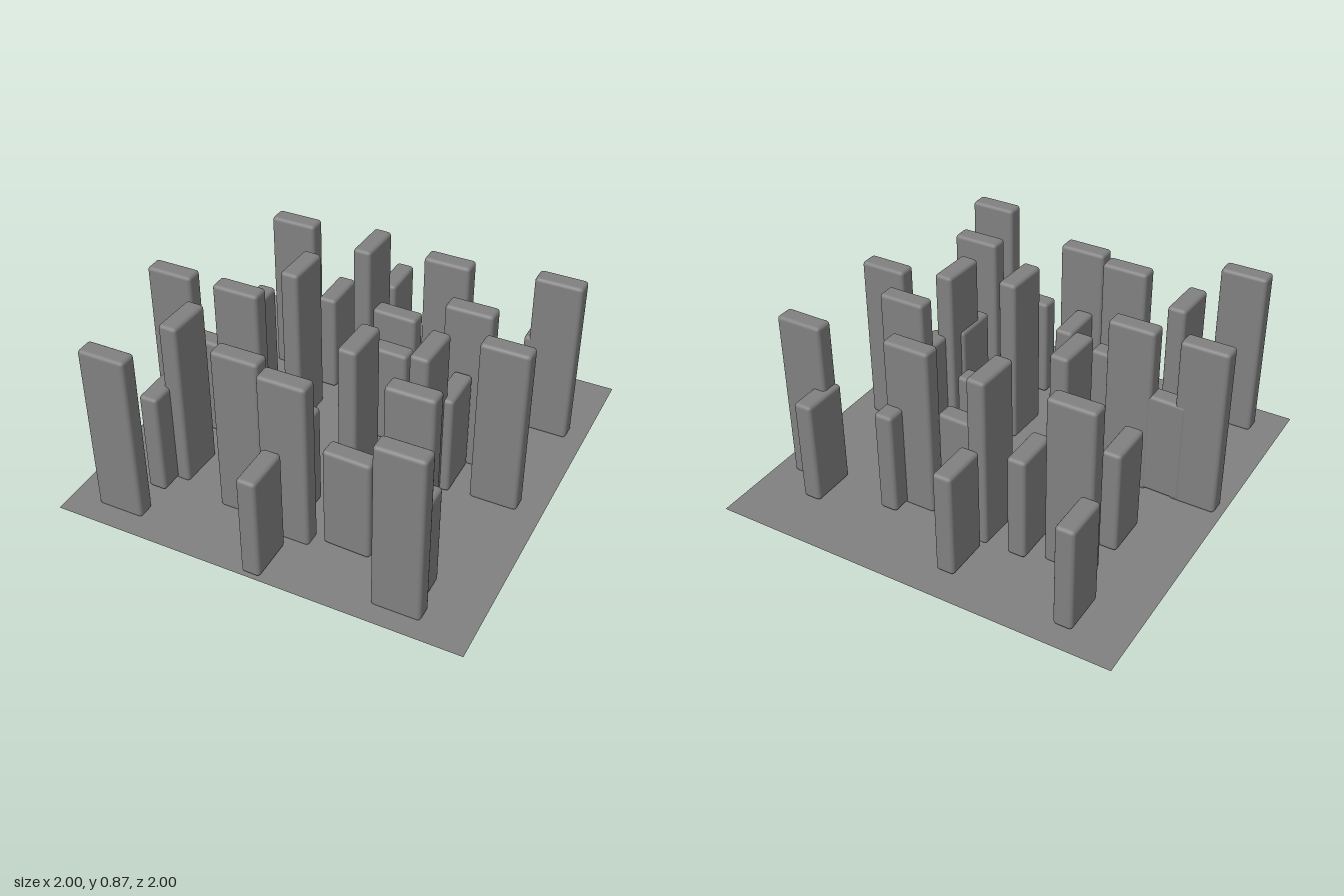
import * as THREE from 'three';
import { RoundedBoxGeometry } from 'three/addons/geometries/RoundedBoxGeometry.js';

const LONG = 0.232, THIN = 0.092, TILT = -0.035;

// [x, z] centres of the slabs, grouped by height and direction
const tallAcross = [
  [-0.555, -0.51], [0.27, -0.49], [0.795, -0.555], [0.515, -0.165], [0.765, 0.045], [-0.845, 0.155],
  [-0.495, 0.155], [-0.74, 0.845], [0.65, 0.86], [0.53, 0.50], [-0.235, 0.605], [0.025, 0.67],
];
const tallAlong = [[-0.13, -0.485], [-0.34, -0.15], [0.17, 0.275], [0.465, 0.185], [-0.605, 0.465]];
const shortAlong = [
  [-0.715, -0.775], [-0.115, -0.74], [-0.325, -0.49], [0.345, -0.51], [0.70, -0.625], [-0.65, -0.245],
  [0.51, 0.0], [0.45, 0.255], [-0.67, 0.575], [0, 0.515], [0, 0.87], [0.69, 0.76],
];
const shortAcross = [[0.03, -0.44], [0.115, -0.15], [-0.31, 0.365], [0.305, 0.625], [-0.67, 0.155]];

export function createModel() {
  const model = new THREE.Group();
  model.name = 'blockField';
  const grey = new THREE.MeshStandardMaterial({ color: 0x808080, side: THREE.DoubleSide });
  grey.name = 'grey';

  // Thin square ground sheet
  const sheet = new THREE.Mesh(new THREE.PlaneGeometry(2, 2).rotateX(-Math.PI / 2), grey);
  sheet.name = 'groundSheet';
  sheet.position.y = 0.005;
  model.add(sheet);

  // Upright slabs with softened edges
  function addSlabs(name, centres, bottom, top, angle) {
    const group = new THREE.Group();
    group.name = name;
    const geometry = new RoundedBoxGeometry(LONG, top - bottom, THIN, 2, 0.018);
    centres.forEach(([x, z], i) => {
      const slab = new THREE.Mesh(geometry, grey);
      slab.name = `${name}${i + 1}`;
      slab.position.set(x, (top + bottom) / 2, z);
      slab.rotation.y = angle;
      group.add(slab);
    });
    model.add(group);
  }
  addSlabs('tallSlabAcross', tallAcross, 0, 0.866, 0);
  addSlabs('tallSlabAlong', tallAlong, 0, 0.866, Math.PI / 2 + TILT);
  addSlabs('shortSlabAlong', shortAlong, 0.008, 0.535, Math.PI / 2);
  addSlabs('shortSlabAcross', shortAcross, 0.008, 0.535, TILT);

  return model;
}
